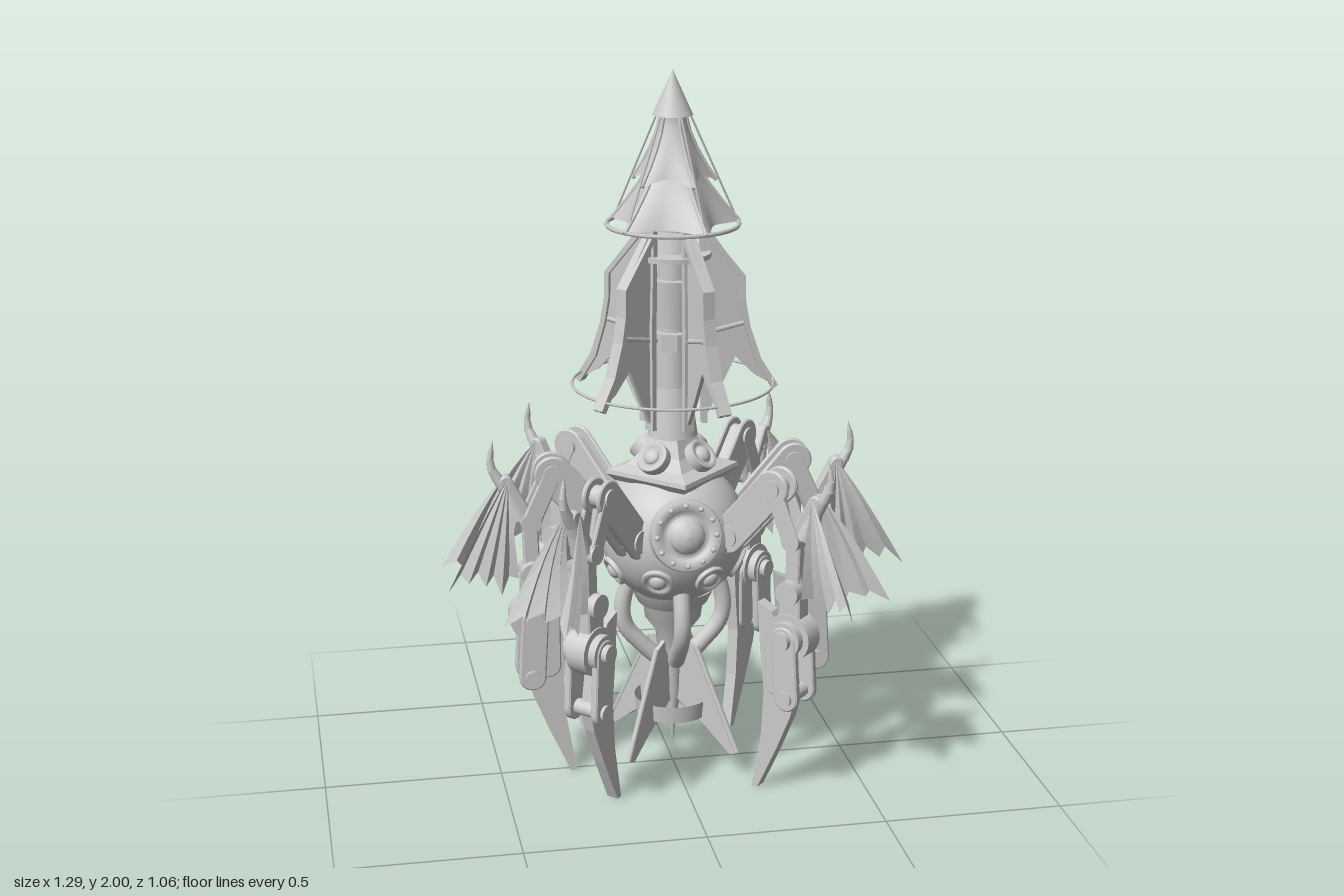
import * as THREE from 'three';
import { ParametricGeometry } from 'three/addons/geometries/ParametricGeometry.js';

const smooth = new THREE.MeshStandardMaterial({ color: 0xcccccc, side: THREE.DoubleSide });
const flat = new THREE.MeshStandardMaterial({ color: 0xcccccc, side: THREE.DoubleSide, flatShading: true });
const V = (x, y, z = 0) => new THREE.Vector3(x, y, z);

function add(parent, name, geo, x = 0, y = 0, z = 0, mat = smooth) {
  const m = new THREE.Mesh(geo, mat);
  m.name = name;
  m.position.set(x, y, z);
  parent.add(m);
  return m;
}
// Copies of a part spread around the vertical axis, each built with +x pointing outward
function around(parent, name, angles, build) {
  for (const deg of angles) {
    const g = new THREE.Group();
    g.name = name;
    g.rotation.y = THREE.MathUtils.degToRad(deg);
    build(g);
    parent.add(g);
  }
}
// Flat plate cut from an outline in the radial plane
function plate(parent, name, points, depth) {
  const s = new THREE.Shape(points.map(p => new THREE.Vector2(...p)));
  const geo = new THREE.ExtrudeGeometry(s, { depth, bevelEnabled: false });
  add(parent, name, geo, 0, 0, -depth / 2, flat);
}
// Bar with rounded ends between two pivots
function link(parent, name, a, b, r, depth, z = 0) {
  const len = Math.hypot(b[0] - a[0], b[1] - a[1]);
  const s = new THREE.Shape();
  s.absarc(0, 0, r, Math.PI / 2, Math.PI * 1.5);
  s.absarc(len, 0, r, -Math.PI / 2, Math.PI / 2);
  const geo = new THREE.ExtrudeGeometry(s, { depth: depth - 0.008, bevelThickness: 0.004, bevelSize: 0.004, bevelOffset: -0.004, bevelSegments: 1, curveSegments: 10 });
  geo.translate(0, 0, -depth / 2 + 0.004);
  add(parent, name, geo, a[0], a[1], z).rotation.z = Math.atan2(b[1] - a[1], b[0] - a[0]);
}
// Pivot pin lying across the leg
function pin(parent, name, p, r, width) {
  add(parent, name, new THREE.CylinderGeometry(r, r, width, 24), p[0], p[1], 0).rotation.x = Math.PI / 2;
}
// Round bar between two points, optionally tapered
function rod(parent, name, a, b, r, sides = 8, rEnd = r) {
  const d = b.clone().sub(a);
  const m = add(parent, name, new THREE.CylinderGeometry(rEnd, r, d.length(), sides));
  m.position.copy(a).addScaledVector(d, 0.5);
  m.quaternion.setFromUnitVectors(V(0, 1), d.normalize());
}
function ring(parent, name, r, y, tube) {
  add(parent, name, new THREE.TorusGeometry(r, tube, 6, 60), 0, y, 0).rotation.x = Math.PI / 2;
}
// Stepped round port with a dome, facing along dir
function port(parent, name, pos, dir, r) {
  const pts = [[1, -.35], [1, .2], [.95, .28], [.72, .28], [.68, .14], [.5, .14], [.5, .25], [.42, .36], [.22, .47], [0, .5]];
  const m = add(parent, name, new THREE.LatheGeometry(pts.map(p => new THREE.Vector2(p[0] * r, p[1] * r)), 28));
  m.position.copy(pos);
  m.quaternion.setFromUnitVectors(V(0, 1), dir.clone().normalize());
  return m;
}
// Five sagging cloth panels hung between ribs
function canopy(parent, name, y0, r0, y1, r1, power, lift) {
  around(parent, name, [0, 72, 144, 216, 288], g => {
    add(g, name + 'Panel', new ParametricGeometry((u, v, t) => {
      const sag = Math.sin(Math.PI * u) * v;
      const r = (r0 + (r1 - r0) * Math.pow(v, power)) * (1 - 0.33 * sag);
      const a = u * Math.PI * 0.4;
      t.set(r * Math.cos(a), y0 + (y1 - y0) * v + lift * sag, -r * Math.sin(a));
    }, 10, 8));
    const p = v => V(r0 + (r1 - r0) * Math.pow(v, power), y0 + (y1 - y0) * v);
    for (let i = 0; i < 4; i++) rod(g, name + 'Rib', p(i / 4), p((i + 1) / 4), 0.006, 6);
  });
}

// Pleated wing: tips and valleys of the feathers along the hem
const HEM = [[.645, .6], [.605, .635], [.585, .61], [.555, .63], [.535, .59], [.51, .61], [.49, .555], [.465, .6], [.44, .6]];
function wing(parent, side) {
  const geo = new ParametricGeometry((u, v, t) => {
    const i = Math.min(8, Math.round(u * 8)), [hx, hy] = HEM[i];
    const x = 0.465 + (hx - 0.465) * v, y = 0.89 + (hy - 0.89) * Math.pow(v, 0.9 + 0.25 * (1 - u));
    const out = Math.pow(Math.max(0, (x - 0.465) / 0.18), 1.3);
    t.set(x, y, side * (0.022 + 0.078 * out + 0.012 * Math.sin(Math.PI * v) + (i % 2 ? -0.022 : 0.002) * v));
  }, 8, 6);
  add(parent, 'wingMembrane', geo, 0, 0, 0, flat);
}

function leg(g) {
  const shoulder = [.2, .735], elbow = [.342, .9], wrist = [.405, .76], knee = [.4, .61], hub = [.4, .48], ankle = [.41, .31];
  // Upper arm: two side plates around an inner bar
  for (const z of [-.024, .024]) link(g, 'upperArmPlate', shoulder, elbow, .05, .014, z);
  link(g, 'upperArmCore', shoulder, elbow, .03, .06);
  pin(g, 'shoulderPin', shoulder, .032, .074);
  pin(g, 'elbowPin', elbow, .026, .076);
  // Forearm
  for (const z of [-.027, .027]) link(g, 'forearmPlate', elbow, wrist, .026, .012, z);
  link(g, 'forearmCore', wrist, knee, .022, .03);
  rod(g, 'forearmPiston', V(.36, .87), V(.425, .6), .012);
  pin(g, 'wristPin', wrist, .028, .07);
  pin(g, 'kneePin', knee, .035, .08);
  link(g, 'kneeBracket', knee, hub, .034, .05);
  // Wheel hub and shin
  pin(g, 'hubDrum', hub, .068, .06);
  pin(g, 'hubRim', hub, .05, .105);
  pin(g, 'hubCap', hub, .026, .145);
  for (const z of [-.045, .045]) link(g, 'shinPlate', hub, ankle, .038, .022, z);
  link(g, 'shinCore', [.36, .47], [.36, .33], .035, .05);
  pin(g, 'anklePin', ankle, .022, .13);
  // Curved claw blade
  plate(g, 'clawBlade', [[.295, .56], [.34, .54], [.4, .42], [.42, .3], [.405, .24], [.36, .13], [.3, 0], [.282, 0], [.31, .16], [.318, .3], [.305, .42]], .034);
  // Ribbed horn
  const horn = new THREE.CatmullRomCurve3([V(.435, .77), V(.468, .85), V(.51, .925), V(.503, 1)]);
  for (let i = 0; i < 8; i++) {
    const r = .026 * (1 - i / 8) + .003;
    rod(g, 'hornSegment', horn.getPoint(i / 8), horn.getPoint((i + 1.1) / 8.1), r, 10, i === 7 ? 0 : r * .75);
  }
  link(g, 'wingMount', wrist, [.47, .88], .018, .036);
  wing(g, 1);
  wing(g, -1);
}

export function createModel() {
  const model = new THREE.Group();
  model.name = 'walkingMachine';

  // Round body with its front hatch and ports
  add(model, 'bodySphere', new THREE.SphereGeometry(.205, 40, 28), 0, .71, 0);
  const hatch = port(model, 'frontHatch', V(0, .755, .185), V(0, .2, 1), .1);
  for (let i = 0; i < 12; i++) {
    const a = i * Math.PI / 6;
    add(hatch, 'hatchBolt', new THREE.SphereGeometry(.008, 8, 6), .083 * Math.cos(a), .028, .083 * Math.sin(a));
  }
  for (const deg of [24, -24, 75, -75, 140, -140]) {
    const a = deg * Math.PI / 180, d = V(Math.sin(a) * .88, -.47, Math.cos(a) * .88);
    port(model, 'bodyPort', d.clone().multiplyScalar(.2).add(V(0, .71)), d, .045);
  }
  // Four-cornered flared collar with lamps on its faces
  const collar = [[.165, .865], [.188, .885], [.185, .897], [.13, .91], [.095, .94], [.07, .98], [.055, 1.01]].map(p => new THREE.Vector2(...p));
  add(model, 'collar', new THREE.LatheGeometry(collar, 4), 0, 0, 0, flat);
  around(model, 'collarLamp', [45, 135, 225, 315], g => port(g, 'lamp', V(.095, .943), V(1, .85), .046));

  // Six legs
  around(model, 'leg', [0, 45, 135, 180, 225, 315], leg);

  // Funnel under the body, bent pipes and spindle
  const funnel = [[0, .05], [.012, .15], [.025, .22], [.03, .33], [.045, .36], [.05, .41], [.08, .45], [.085, .49], [.1, .5], [.12, .54]];
  add(model, 'tailFunnel', new THREE.LatheGeometry(funnel.map(p => new THREE.Vector2(...p)), 24));
  around(model, 'pipe', [0, 90, 180, 270], g => {
    const path = new THREE.CatmullRomCurve3([V(.125, .57), V(.142, .51), V(.145, .46), V(.132, .42), V(.09, .37), V(.05, .33)]);
    add(g, 'bentPipe', new THREE.TubeGeometry(path, 20, .024, 12));
  });
  // Four broad tail fins set on the diagonals, held by a band
  around(model, 'tail', [45, 135, 225, 315], g => {
    plate(g, 'tailFin', [[.02, .4], [.08, .37], [.14, .24], [.225, .08], [.2, .07], [.08, .165], [.02, .2]], .012);
    rod(g, 'tailFinEdge', V(.08, .37), V(.22, .08), .008);
    rod(g, 'tailFinLowerEdge', V(.02, .2), V(.21, .075), .006);
  });
  add(model, 'tailBand', new THREE.CylinderGeometry(.11, .105, .05, 32, 1, true), 0, .185, 0);

  // Mast with its sleeves
  add(model, 'mast', new THREE.CylinderGeometry(.035, .05, .9, 20), 0, 1.44, 0);
  add(model, 'mastFoot', new THREE.CylinderGeometry(.05, .07, .14, 20), 0, 1.06, 0);
  add(model, 'mastClamp', new THREE.CylinderGeometry(.072, .072, .05, 10), 0, 1.265, 0, flat);
  add(model, 'mastSleeve', new THREE.CylinderGeometry(.07, .06, .13, 20), 0, 1.37, 0);
  add(model, 'mastPlate', new THREE.CylinderGeometry(.105, .105, .014, 24), 0, 1.5, 0);
  add(model, 'mastCollar', new THREE.CylinderGeometry(.06, .07, .05, 20), 0, 1.54, 0);

  // Five folded sails on stout ribs
  around(model, 'sail', [0, 72, 144, 216, 288], g => {
    plate(g, 'sailPanel', [[.08, 1.56], [.105, 1.56], [.2, 1.43], [.2, 1.36], [.215, 1.28], [.245, 1.19], [.29, 1.115], [.23, 1.15], [.175, 1.205], [.135, 1.12], [.085, 1.02], [.075, 1.2], [.085, 1.4]], .012);
    plate(g, 'sailRib', [[.1, 1.56], [.2, 1.435], [.202, 1.36], [.215, 1.29], [.245, 1.2], [.295, 1.12], [.28, 1.11], [.23, 1.19], [.2, 1.29], [.188, 1.36], [.187, 1.43], [.08, 1.56]], .036);
    plate(g, 'sailInnerRib', [[.075, 1.58], [.09, 1.58], [.098, 1.3], [.095, 1.02], [.08, 1.02], [.08, 1.3]], .03);
    rod(g, 'sailStrut', V(.04, 1.265), V(.2, 1.3), .009);
  });
  ring(model, 'lowerHoop', .278, 1.14, .004);

  // Two-tier canopy, hoop and stays
  canopy(model, 'upperCanopy', 1.88, .035, 1.7, .12, 1.5, .02);
  canopy(model, 'lowerCanopy', 1.8, .045, 1.585, .185, 1.4, .005);
  ring(model, 'upperHoop', .18, 1.585, .006);
  around(model, 'stay', [0, 72, 144, 216, 288], g => rod(g, 'stayWire', V(.045, 1.885), V(.18, 1.585), .003, 5));
  add(model, 'peakCone', new THREE.ConeGeometry(.055, .12, 24), 0, 1.94, 0);
  return model;
}
